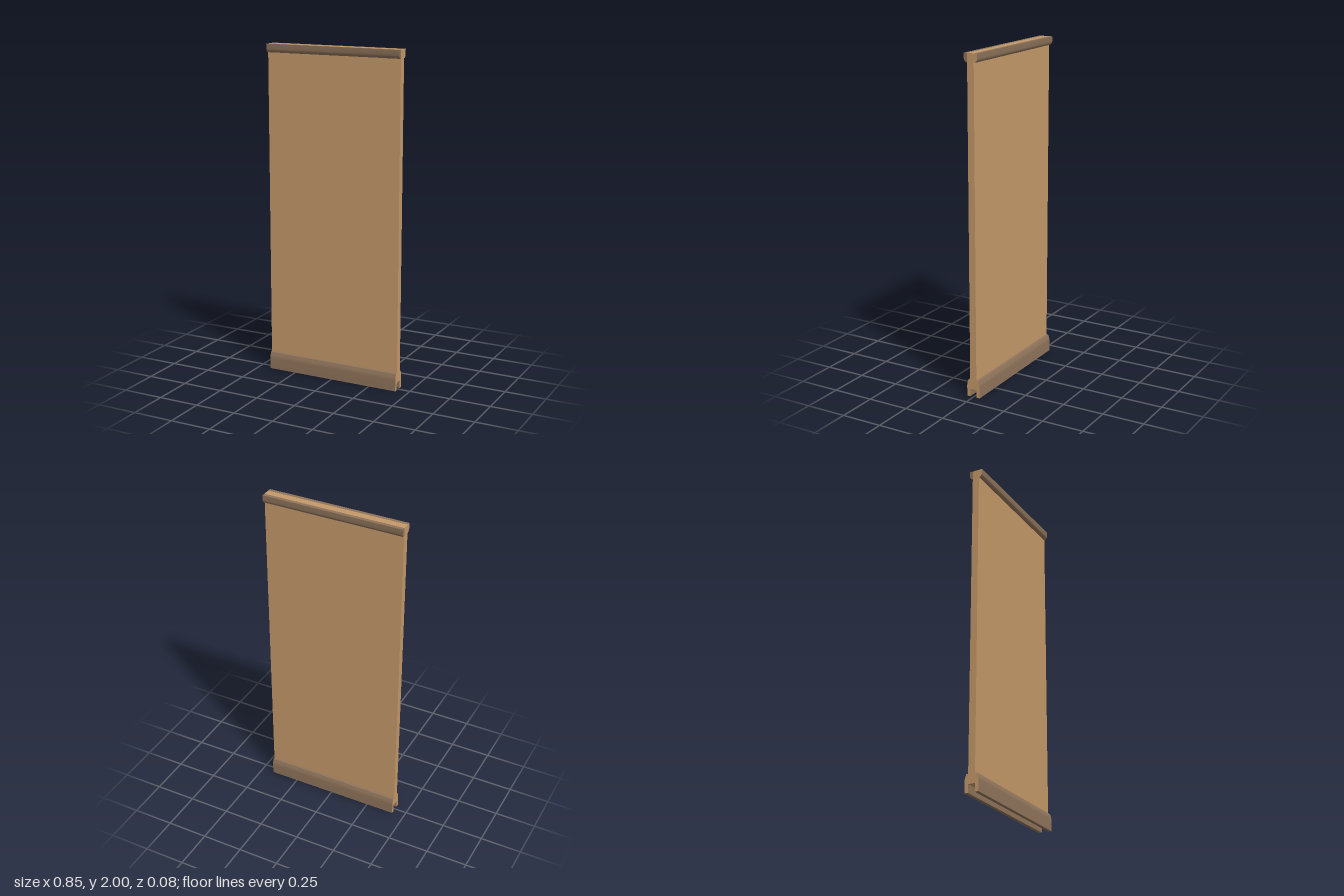
import * as THREE from 'three';
import { toCreasedNormals } from 'three/addons/utils/BufferGeometryUtils.js';

const WIDTH = 0.848;
const CORE = 0.021; // half thickness of the board
const OUTER = 0.042; // half thickness over the trims

const wood = new THREE.MeshStandardMaterial({ color: 0xc49969 });
wood.name = 'tan wood';
const trimWood = new THREE.MeshStandardMaterial({ color: 0x8e735a });
trimWood.name = 'brown trim';

// Extrudes a (z, y) profile along the width; ends can differ in colour
function trimGeometry(shape, leftEnd, rightEnd) {
  let geo = new THREE.ExtrudeGeometry(shape, { depth: WIDTH, bevelEnabled: false, curveSegments: 6 });
  geo.rotateY(-Math.PI / 2).translate(WIDTH / 2, 0, 0);
  const [lids, sides] = geo.groups.map((g) => ({ ...g }));
  geo = toCreasedNormals(geo, 0.6);
  geo.clearGroups();
  geo.addGroup(0, lids.count / 2, leftEnd);
  geo.addGroup(lids.count / 2, lids.count / 2, rightEnd);
  geo.addGroup(sides.start, sides.count, 1);
  return geo;
}

export function createModel() {
  const group = new THREE.Group();

  // Board, raised to leave a slot between the skirting legs
  const board = new THREE.Mesh(new THREE.BoxGeometry(WIDTH, 1.952, CORE * 2), wood);
  board.name = 'board';
  board.position.y = 1.024;
  group.add(board);

  // Skirting with a rounded shoulder
  const skirting = new THREE.Shape();
  skirting.moveTo(CORE, 0);
  skirting.lineTo(OUTER, 0);
  skirting.lineTo(OUTER, 0.065);
  skirting.bezierCurveTo(OUTER, 0.085, 0.036, 0.092, 0.033, 0.104);
  skirting.lineTo(CORE, 0.106);
  skirting.closePath();

  // Cornice with a rounded lower edge
  const cornice = new THREE.Shape();
  cornice.moveTo(CORE, 1.949);
  cornice.lineTo(0.029, 1.95);
  cornice.quadraticCurveTo(0.039, 1.955, OUTER, 1.97);
  cornice.lineTo(OUTER, 2);
  cornice.lineTo(CORE, 2);
  cornice.closePath();

  const skirtingGeo = trimGeometry(skirting, 0, 0);
  const corniceGeo = trimGeometry(cornice, 1, 0);

  // The back trims are the front ones turned half way round
  for (const [side, angle] of [['front', 0], ['back', Math.PI]]) {
    for (const [name, geo] of [['Skirting', skirtingGeo], ['Cornice', corniceGeo]]) {
      const mesh = new THREE.Mesh(geo, [wood, trimWood]);
      mesh.name = side + name;
      mesh.rotation.y = angle;
      group.add(mesh);
    }
  }
  return group;
}
